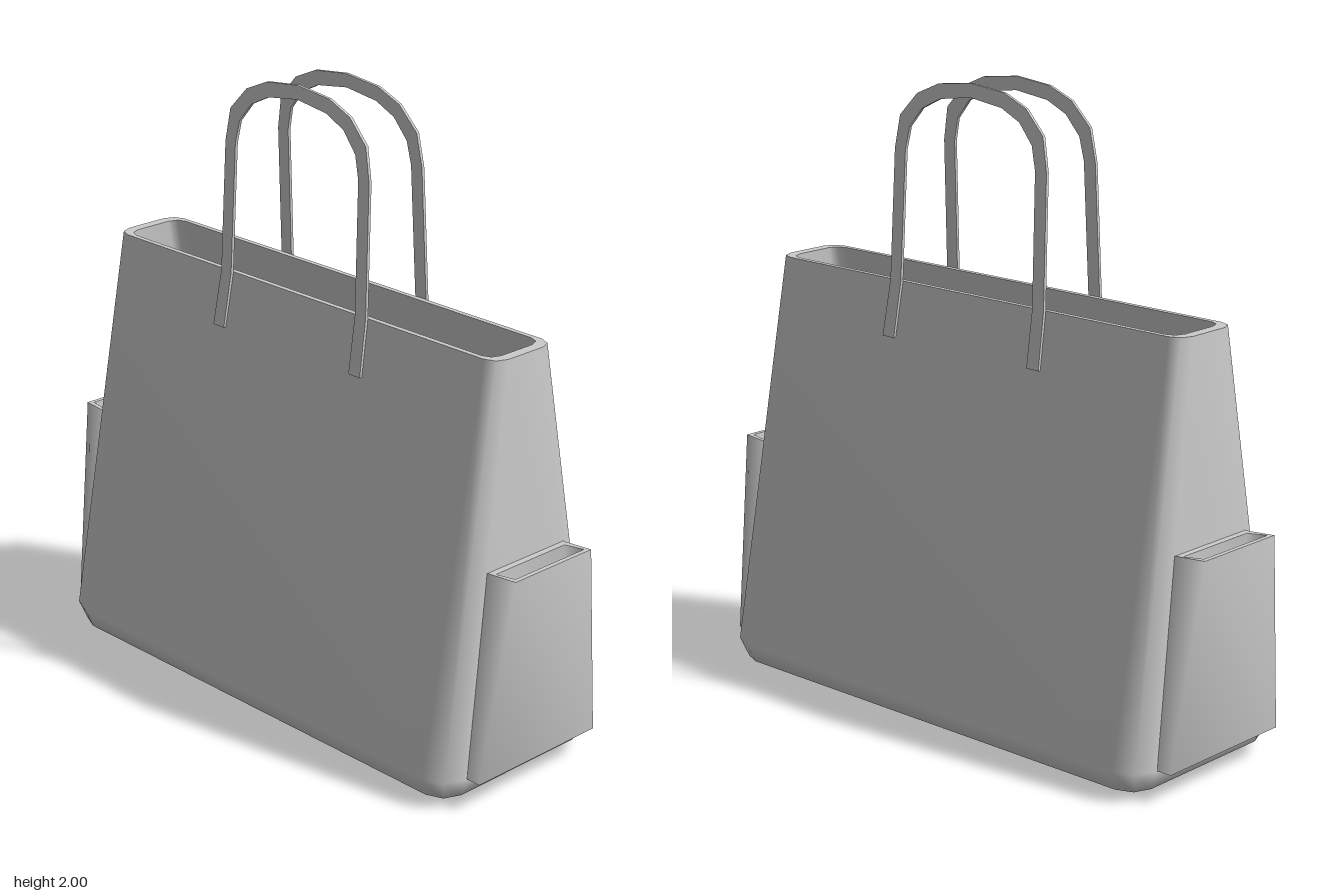
import * as THREE from 'three';
import { toCreasedNormals } from 'three/addons/utils/BufferGeometryUtils.js';

const material = new THREE.MeshStandardMaterial({ color: 0xcccccc, side: THREE.DoubleSide });

// Skin a list of closed rings, with optional end caps
function loft(rings, { startCap = false, endCap = false, crease = 0 } = {}) {
  const n = rings[0].length;
  const index = [];
  for (let k = 0; k < rings.length - 1; k++) {
    for (let i = 0; i < n; i++) {
      const a = k * n + i, b = k * n + (i + 1) % n;
      index.push(a, a + n, b + n, a, b + n, b);
    }
  }
  const last = (rings.length - 1) * n;
  for (let i = 1; i < n - 1; i++) {
    if (startCap) index.push(0, i, i + 1);
    if (endCap) index.push(last, last + i + 1, last + i);
  }
  const g = new THREE.BufferGeometry();
  g.setAttribute('position', new THREE.Float32BufferAttribute(rings.flat(2), 3));
  g.setIndex(index);
  g.computeVertexNormals();
  return crease ? toCreasedNormals(g, crease) : g;
}

// Horizontal rounded rectangle with two segments per corner
function roundedRing(y, hx, hz, r) {
  const ring = [];
  [[1, 1], [-1, 1], [-1, -1], [1, -1]].forEach(([sx, sz], q) => {
    for (let s = 0; s < 3; s++) {
      const a = (q + s / 2) * Math.PI / 2;
      ring.push([sx * (hx - r) + r * Math.cos(a), y, sz * (hz - r) + r * Math.sin(a)]);
    }
  });
  return ring;
}

// Four-cornered ring whose height may differ between its inner and outer side
const boxRing = (x0, x1, y0, y1, hz) =>
  [[x0, y0, -hz], [x1, y1, -hz], [x1, y1, hz], [x0, y0, hz]];

function add(parent, name, geometry) {
  const mesh = new THREE.Mesh(geometry, material);
  mesh.name = name;
  parent.add(mesh);
}

function makeBody() {
  const body = new THREE.Group();
  body.name = 'bagBody';
  const rimOuter = roundedRing(1.36, 0.833, 0.122, 0.05);
  const rimInner = roundedRing(1.36, 0.798, 0.105, 0.04);
  add(body, 'outerShell', loft([
    roundedRing(0.005, 0.785, 0.26, 0.04),
    roundedRing(0.035, 0.85, 0.322, 0.075),
    roundedRing(0.1, 0.875, 0.347, 0.09),
    rimOuter,
  ], { startCap: true }));
  add(body, 'rim', loft([rimOuter, rimInner]));
  add(body, 'lining', loft([
    rimInner,
    roundedRing(0.1, 0.845, 0.325, 0.08),
    roundedRing(0.03, 0.78, 0.255, 0.04),
  ], { endCap: true }));
  return body;
}

// Open-topped pocket on the +x end
function makePocket() {
  const pocket = new THREE.Group();
  const rimOuter = boxRing(0.84, 0.965, 0.73, 0.74, 0.163);
  const rimInner = boxRing(0.875, 0.95, 0.73, 0.74, 0.148);
  add(pocket, 'pocketShell', loft([boxRing(0.85, 0.925, 0.1, 0.1, 0.252), rimOuter], { startCap: true }));
  add(pocket, 'pocketRim', loft([rimOuter, rimInner]));
  add(pocket, 'pocketLining', loft([rimInner, boxRing(0.88, 0.91, 0.12, 0.12, 0.232)], { endCap: true }));
  return pocket;
}

// Flat strap arching over the front: [outer x, outer y, inner x, inner y], bottom to crown
function makeHandle() {
  const half = [
    [0.325, 1.185, 0.277, 1.185], [0.318, 1.36, 0.273, 1.36], [0.311, 1.77, 0.266, 1.77],
    [0.292, 1.875, 0.25, 1.843], [0.222, 1.948, 0.198, 1.905], [0.135, 1.985, 0.125, 1.94],
    [0, 2, 0, 1.957],
  ];
  const path = [...half, ...half.slice(0, -1).reverse().map(([a, b, c, d]) => [-a, b, -c, d])];
  const leanZ = y => y < 1.36
    ? THREE.MathUtils.mapLinear(y, 1.185, 1.36, 0.157, 0.127)
    : THREE.MathUtils.mapLinear(y, 1.36, 2, 0.127, 0.099);
  const t = 0.005;
  const rings = path.map(([ox, oy, ix, iy]) => {
    const zo = leanZ(oy), zi = leanZ(iy);
    return [[ix, iy, zi - t], [ox, oy, zo - t], [ox, oy, zo + t], [ix, iy, zi + t]];
  });
  return loft(rings, { startCap: true, endCap: true, crease: 0.7 });
}

export function createModel() {
  const model = new THREE.Group();
  model.name = 'toteBag';
  model.add(makeBody());

  // Matching pockets on both ends and handles on both faces
  ['left', 'right'].forEach((side, i) => {
    const pocket = makePocket();
    pocket.name = side + 'Pocket';
    pocket.rotation.y = i * Math.PI;
    model.add(pocket);
  });
  ['front', 'back'].forEach((side, i) => {
    add(model, side + 'Handle', makeHandle());
    model.children.at(-1).rotation.y = i * Math.PI;
  });
  return model;
}
